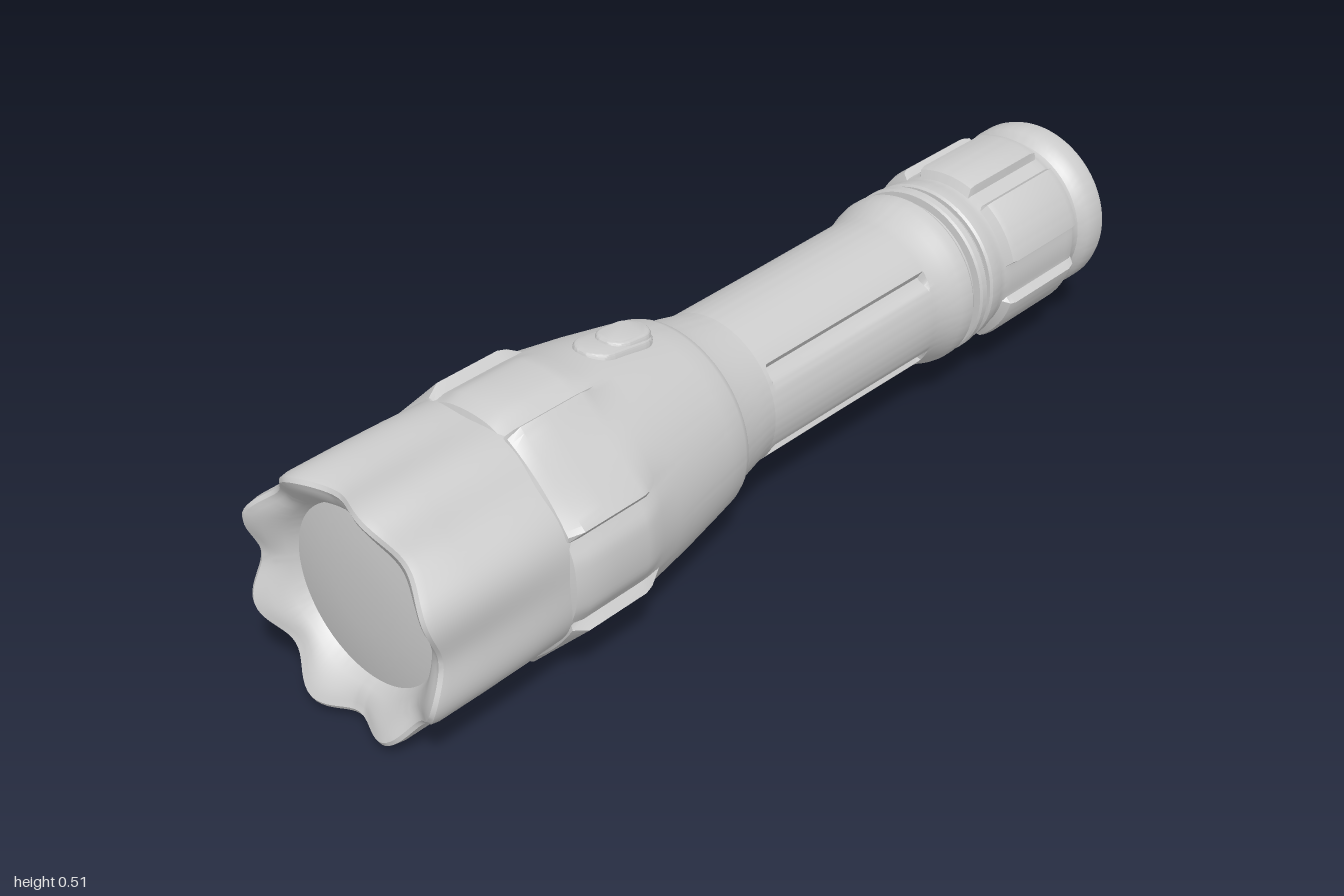
import * as THREE from 'three';
import { toCreasedNormals } from 'three/addons/utils/BufferGeometryUtils.js';

const AXIS_Y = 0.26, SEG = 144, DEG = Math.PI / 180;
const material = new THREE.MeshStandardMaterial({ color: 0xcccccc });
const smooth = (a, b, v) => THREE.MathUtils.smoothstep(v, a, b);

// Signed distance in degrees from the nearest multiple of step.
const fold = (deg, step) => deg - step * Math.round(deg / step);

// Skin over rings along x. A station is [x, radius, amount]; shape(deg, x, r, amount)
// may bend each ring. deg runs from the top (+y) towards the front (+z).
function loft(stations, shape = (d, x, r) => [x, r], crease = 32) {
  const pos = [], index = [], row = SEG + 1;
  for (const [x, r, amount = 0] of stations) {
    for (let j = 0; j <= SEG; j++) {
      const deg = (j % SEG) * 360 / SEG;
      const [px, pr] = shape(deg, x, r, amount);
      pos.push(px, AXIS_Y + pr * Math.cos(deg * DEG), pr * Math.sin(deg * DEG));
    }
  }
  for (let i = 0; i < stations.length - 1; i++) {
    for (let j = 0; j < SEG; j++) {
      const a = i * row + j, b = a + row;
      if (stations[i][1] > 0) index.push(a, a + 1, b);
      if (stations[i + 1][1] > 0) index.push(a + 1, b + 1, b);
    }
  }
  const g = new THREE.BufferGeometry();
  g.setAttribute('position', new THREE.Float32BufferAttribute(pos, 3));
  g.setIndex(index);
  return toCreasedNormals(g, crease * DEG);
}

function part(group, name, geometry) {
  const mesh = new THREE.Mesh(geometry, material);
  mesh.name = name;
  group.add(mesh);
  return mesh;
}

// Radius of the grip pads: rounded on the axes, flat on the diagonals.
function padRadius(deg) {
  const d = Math.abs(fold(deg, 90));
  return d < 22.5 ? 0.257 - 0.009 * smooth(10, 21, d) : 0.247 / Math.cos((45 - d) * DEG);
}

// Pill outline with rounded ends, extruded upwards.
function pill(length, width, height, bevel) {
  const r = width / 2 - bevel, h = length / 2 - width / 2;
  const s = new THREE.Shape();
  s.absarc(h, 0, r, -Math.PI / 2, Math.PI / 2);
  s.absarc(-h, 0, r, Math.PI / 2, Math.PI * 1.5);
  s.closePath();
  const g = new THREE.ExtrudeGeometry(s, {
    depth: height - 2 * bevel, bevelEnabled: true, bevelSize: bevel,
    bevelThickness: bevel, bevelSegments: 4, curveSegments: 20,
  });
  g.rotateX(-Math.PI / 2);
  return toCreasedNormals(g, 40 * DEG);
}

export function createModel() {
  const group = new THREE.Group();
  group.name = 'flashlight';

  // Scalloped bezel: amount is the strength of the eight flutes
  const flute = (deg, x, r, k) => {
    const wave = 0.5 + 0.5 * Math.cos(fold(deg, 45) * 8 * DEG);
    const push = x < -0.9 ? 0.028 * wave * k : 0;
    return [x + push, r - 0.018 * wave * k];
  };
  part(group, 'bezel', loft([
    [-0.93, 0.172, 0], [-0.955, 0.185, 0.2], [-0.982, 0.21, 0.7], [-0.994, 0.228, 1],
    [-1, 0.24, 1], [-0.996, 0.248, 1], [-0.98, 0.251, 1], [-0.88, 0.251, 1],
    [-0.78, 0.249, 0.8], [-0.68, 0.245, 0.5], [-0.64, 0.24, 0.3],
  ], flute));

  // Lens, slightly domed
  part(group, 'lens', loft([[-0.945, 0], [-0.944, 0.06], [-0.94, 0.12], [-0.931, 0.174]]));

  // Head with grip pads and tapered neck: amount blends circle into pads
  part(group, 'head', loft([
    [-0.69, 0.235, 0], [-0.685, 0.24, 0.4], [-0.66, 0.24, 1], [-0.6, 0.24, 1],
    [-0.52, 0.24, 1], [-0.5, 0.245, 0.75], [-0.47, 0.244, 0], [-0.42, 0.236],
    [-0.35, 0.225], [-0.25, 0.206], [-0.205, 0.197], [-0.193, 0.192], [-0.185, 0.182],
    [-0.16, 0.174], [-0.13, 0.168], [-0.1, 0.161], [-0.08, 0.158],
  ], (d, x, r, k) => [x, r + (padRadius(d) - r) * k], 30));

  // Body tube with four long grooves: amount switches the grooves on
  const groove = (deg, x, r, k) => {
    const d = Math.abs(fold(deg, 180));
    const cut = smooth(50, 52.5, d) * (1 - smooth(54, 66, d));
    return [x, r - 0.016 * k * cut];
  };
  part(group, 'bodyTube', loft([
    [-0.09, 0.158, 0], [-0.071, 0.158, 0], [-0.065, 0.158, 1], [0.16, 0.159, 1],
    [0.389, 0.161, 1], [0.395, 0.161, 0], [0.41, 0.162], [0.44, 0.169], [0.46, 0.176],
    [0.475, 0.179], [0.492, 0.179], [0.498, 0.175], [0.5, 0.16], [0.518, 0.16],
    [0.52, 0.175], [0.524, 0.179], [0.538, 0.179], [0.543, 0.175], [0.545, 0.163],
    [0.556, 0.163], [0.558, 0.168],
  ], groove));

  // Tail cap with six raised pads: amount is the pad height factor
  const centres = [0, 55, 125, 180];
  const capPad = (deg, x, r, k) => {
    const d = Math.abs(fold(deg, 360));
    const off = Math.min(...centres.map(c => Math.abs(d - c)));
    return [x, r + 0.019 * k * (1 - smooth(20, 23, off))];
  };
  part(group, 'tailCap', loft([
    [0.556, 0.16], [0.557, 0.172], [0.562, 0.176], [0.585, 0.175], [0.6, 0.169],
    [0.612, 0.169, 0], [0.622, 0.17, 0.8], [0.635, 0.17, 1], [0.73, 0.17, 1],
    [0.82, 0.17, 1], [0.84, 0.17, 0.7], [0.848, 0.168, 0], [0.86, 0.163],
    [0.872, 0.163], [0.88, 0.17], [0.89, 0.177], [0.905, 0.18], [0.93, 0.18],
    [0.942, 0.176], [0.95, 0.166], [0.953, 0.15], [0.953, 0.13], [0.949, 0.115],
    [0.942, 0.1], [0.94, 0.08],
  ], capPad));

  // Tail button
  part(group, 'tailButton', loft([
    [0.93, 0.088], [0.986, 0.088], [0.994, 0.085], [0.999, 0.078], [1, 0.07], [1, 0],
  ]));

  // Side switch, tilted along the taper of the head
  const bed = part(group, 'switchBed', pill(0.165, 0.09, 0.05, 0.008));
  bed.position.set(-0.345, 0.441, 0);
  const button = part(group, 'switchButton', pill(0.11, 0.078, 0.05, 0.009));
  button.position.set(-0.317, 0.455, 0);
  for (const m of [bed, button]) {
    m.rotation.z = -9 * DEG;
    // lift the bevel start so each pill rises from its origin
    m.geometry.computeBoundingBox();
    m.geometry.translate(0, -m.geometry.boundingBox.min.y, 0);
  }
  // Button tilts a little less than the bed
  button.rotation.z = -6 * DEG;
  button.position.y = 0.445;

  return group;
}
